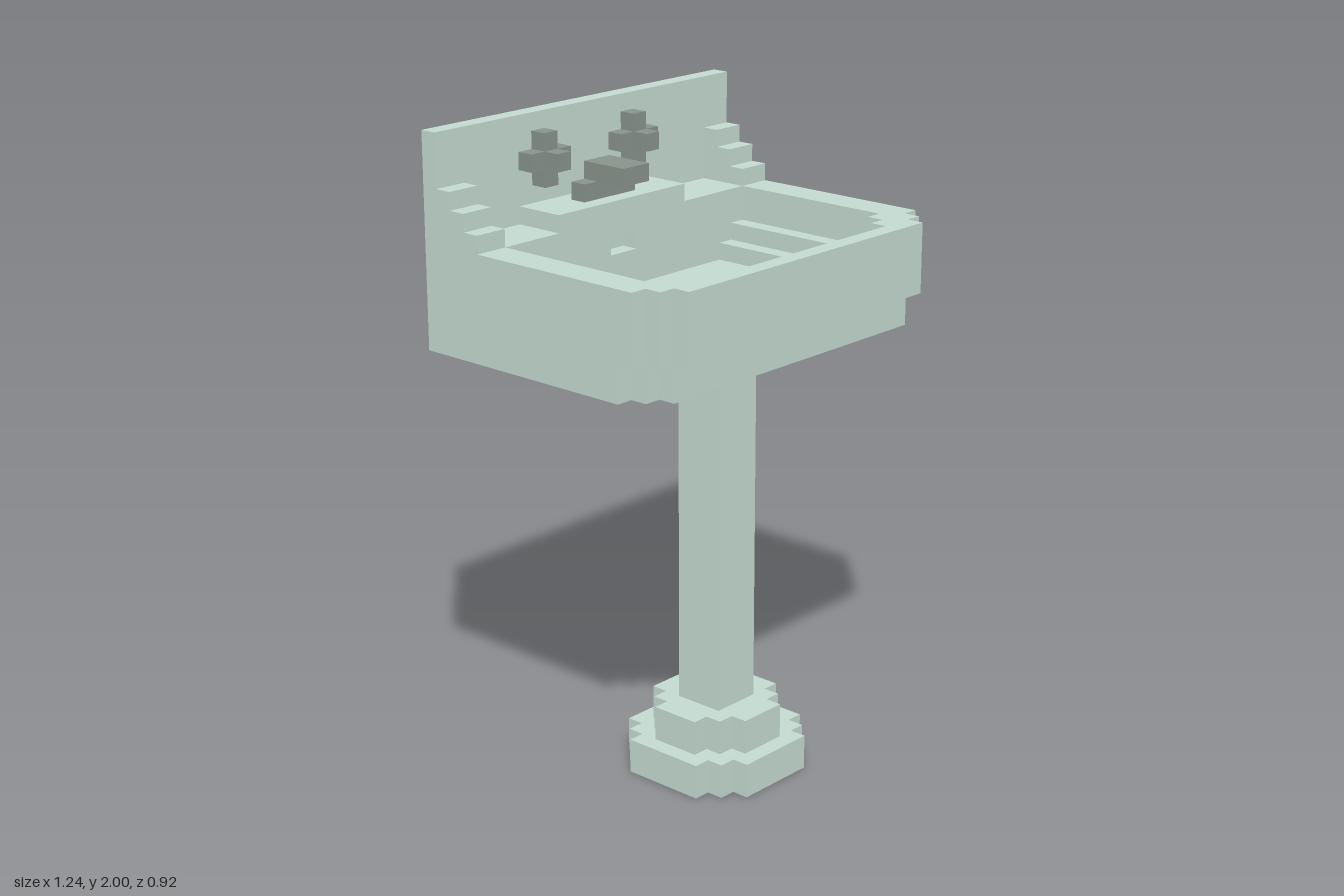
import * as THREE from 'three';

const U = 2 / 37; // edge length of one block; x is centred, y from the ground, z from the back

export function createModel() {
  const group = new THREE.Group();
  const ceramic = new THREE.MeshStandardMaterial({ color: 0xc3d9cf });
  ceramic.name = 'pale green ceramic';
  const metal = new THREE.MeshStandardMaterial({ color: 0x87938b });
  metal.name = 'dark grey metal';

  function add(name, geometry, material) {
    const mesh = new THREE.Mesh(geometry, material);
    mesh.name = name;
    group.add(mesh);
  }

  // Box given by its block limits
  function box(name, material, x0, x1, y0, y1, z0, z1) {
    const g = new THREE.BoxGeometry((x1 - x0) * U, (y1 - y0) * U, (z1 - z0) * U);
    g.translate((x0 + x1) / 2 * U, (y0 + y1) / 2 * U, ((z0 + z1) / 2 - 8.5) * U);
    add(name, g, material);
  }

  // Block corners [x, z] as plan points
  const toPlan = (corners) => corners.map(([x, z]) => new THREE.Vector2(x * U, (8.5 - z) * U));

  // Mirrored stepped plan, counter-clockwise, from rows of [half width, z start, z end]
  function plan(rows, notch = []) {
    const left = rows.flatMap(([w, a, b]) => [[-w, a], [-w, b]]);
    const right = left.map(([x, z]) => [-x, z]).reverse();
    return toPlan([...left, ...right, ...notch]);
  }

  // Horizontal slab with an optional opening
  function slab(name, outline, y0, y1, hole) {
    const shape = new THREE.Shape(outline);
    if (hole) shape.holes.push(new THREE.Path(hole));
    const g = new THREE.ExtrudeGeometry(shape, { depth: (y1 - y0) * U, bevelEnabled: false });
    g.rotateX(-Math.PI / 2);
    g.translate(0, y0 * U, 0);
    add(name, g, ceramic);
  }

  // Pedestal
  slab('baseLower', plan([[2.5, 6, 7], [3.5, 7, 8], [4.5, 8, 13], [3.5, 13, 14], [2.5, 14, 15]]), 0, 2);
  slab('baseUpper', plan([[1.5, 7, 8], [2.5, 8, 9], [3.5, 9, 12], [2.5, 12, 13], [1.5, 13, 14]]), 2, 4);
  box('column', ceramic, -1.5, 1.5, 4, 25, 9, 12);

  // Basin, stacked from the floor up to the rim
  const under = plan([[11.5, 0, 14], [10.5, 14, 15], [9.5, 15, 16]]);
  const outer = plan([[11.5, 0, 15], [10.5, 15, 16], [9.5, 16, 17]]);
  const bowlRows = [[9.5, 4, 14], [8.5, 14, 15], [7.5, 15, 16]];
  const drainHole = toPlan([[-1.5, 6], [-1.5, 8], [0.5, 8], [0.5, 6]]);
  const overflow = [[0.5, 4], [0.5, 3], [-1.5, 3], [-1.5, 4]];
  slab('basinFloor', under, 25, 27, drainHole);
  slab('basinLowerStep', outer, 27, 28, plan([[7.5, 4, 14]]));
  slab('basinUpperStep', outer, 28, 29, plan([[8.5, 4, 15]]));
  slab('basinOverflowLayer', outer, 29, 30, plan(bowlRows, overflow));
  slab('basinRim', outer, 30, 31, plan(bowlRows));
  box('drain', metal, -1.5, 0.5, 25, 26, 6, 8);

  // Splashback with stepped side brackets and tap ledge
  box('splashback', ceramic, -11.5, 11.5, 31, 37, 0, 1);
  for (const x of [-11.5, 9.5]) {
    for (let i = 0; i < 3; i++) box('sideBracketStep', ceramic, x, x + 2, 31 + i, 32 + i, 1, 4 - i);
  }
  box('tapLedge', ceramic, -5.5, 4.5, 31, 32, 1, 4);

  // Cross-shaped tap handles
  for (const x of [-5.5, 1.5]) {
    box('handleCrossbar', metal, x, x + 3, 34, 35, 1, 2);
    box('handleTop', metal, x + 1, x + 2, 35, 36, 1, 2);
    box('handleBottom', metal, x + 1, x + 2, 33, 34, 1, 2);
    box('handleHub', metal, x + 1, x + 2, 34, 35, 2, 3);
  }

  // Spout
  box('spoutBase', metal, -2.5, 1.5, 32, 33, 2, 3);
  box('spout', metal, -1.5, 0.5, 33, 34, 2, 5);

  return group;
}
